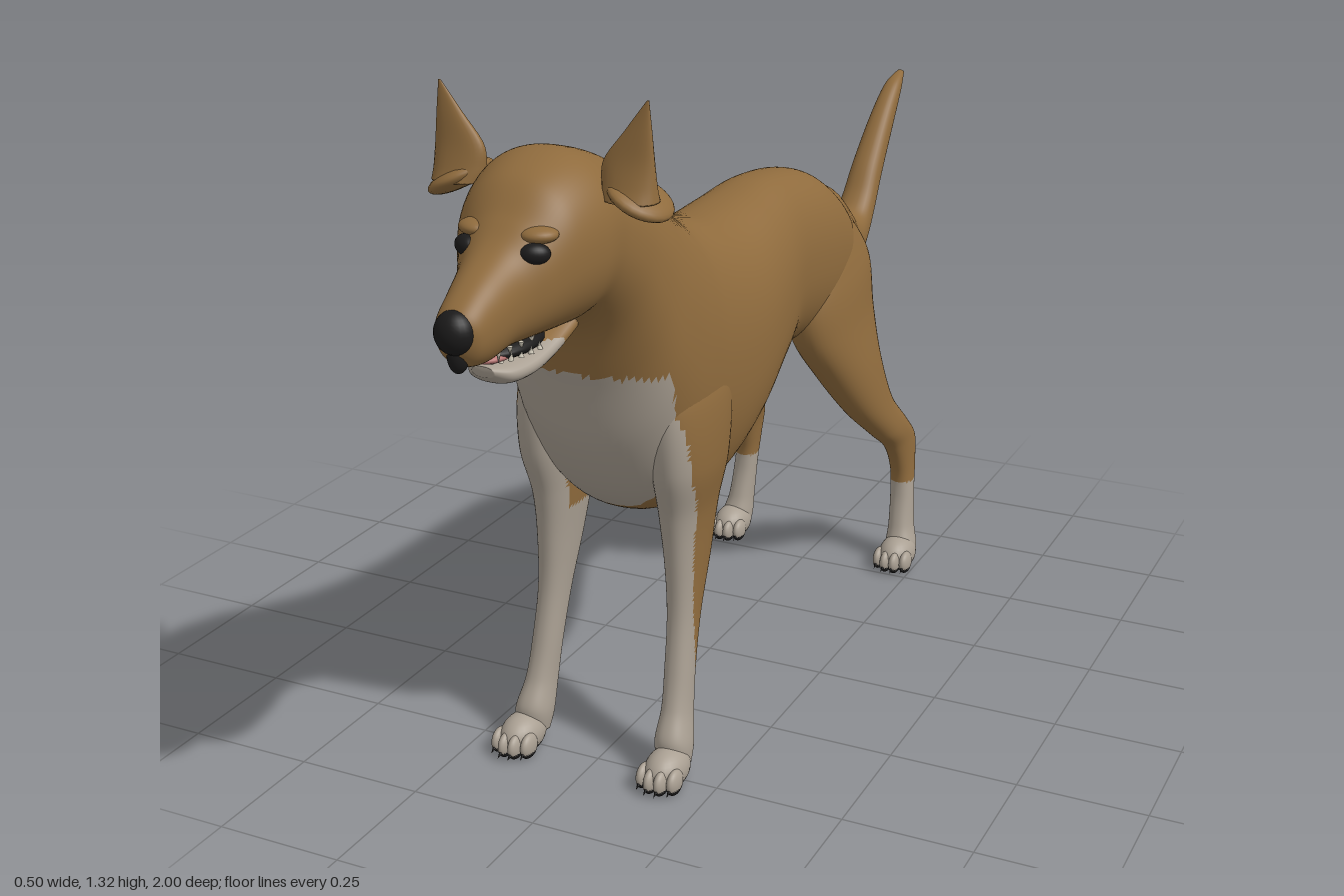
import * as THREE from 'three';

const mat = (name, color, side = THREE.FrontSide) => {
  const m = new THREE.MeshStandardMaterial({ color, side });
  m.name = name;
  return m;
};

// Component-wise Catmull-Rom through the sections
function sample(sections, t) {
  const n = sections.length - 1;
  const i = Math.min(Math.floor(t), n - 1), f = t - i;
  const at = k => sections[Math.max(0, Math.min(n, k))];
  const [a, b, c, d] = [at(i - 1), at(i), at(i + 1), at(i + 2)];
  return b.map((v, k) => v + 0.5 * f * (c[k] - a[k]
    + f * (2 * a[k] - 5 * v + 4 * c[k] - d[k] + f * (3 * (v - c[k]) + d[k] - a[k]))));
}

// Skin over oval sections: [z, y of one edge, z, y of the opposite edge, half width, centre x]
function loft(sections, steps = 8, radial = 40, power = 0.9) {
  const pos = [], idx = [];
  const rings = (sections.length - 1) * steps + 1;
  const bend = v => Math.sign(v) * Math.pow(Math.abs(v), power);
  for (let i = 0; i < rings; i++) {
    const [z1, y1, z2, y2, w, cx] = sample(sections, i / steps);
    for (let j = 0; j < radial; j++) {
      const a = (j / radial) * Math.PI * 2, s = bend(Math.sin(a)) / 2;
      pos.push(cx + w * bend(Math.cos(a)), (y1 + y2) / 2 + s * (y1 - y2), (z1 + z2) / 2 + s * (z1 - z2));
    }
  }
  for (let i = 0; i < rings - 1; i++) for (let j = 0; j < radial; j++) {
    const k = (j + 1) % radial, a = i * radial + j, b = i * radial + k;
    idx.push(a, b, b + radial, a, b + radial, a + radial);
  }
  // Close both ends
  [[sections[0], 0], [sections[sections.length - 1], rings - 1]].forEach(([s, ring], end) => {
    const c = pos.length / 3;
    pos.push(s[5], (s[1] + s[3]) / 2, (s[0] + s[2]) / 2);
    for (let j = 0; j < radial; j++) {
      const a = ring * radial + j, b = ring * radial + (j + 1) % radial;
      if (end) idx.push(c, a, b); else idx.push(c, b, a);
    }
  });
  const g = new THREE.BufferGeometry();
  g.setAttribute('position', new THREE.Float32BufferAttribute(pos, 3));
  g.setIndex(idx);
  g.computeVertexNormals();
  return g;
}

// Put the faces chosen by a rule into a second material group
function paint(g, rule) {
  const p = g.attributes.position, src = g.index.array, parts = [[], []];
  for (let i = 0; i < src.length; i += 3) {
    const t = [src[i], src[i + 1], src[i + 2]];
    const mean = f => (f(t[0]) + f(t[1]) + f(t[2])) / 3;
    const hit = rule(mean(k => p.getX(k)), mean(k => p.getY(k)), mean(k => p.getZ(k)));
    parts[hit ? 1 : 0].push(...t);
  }
  g.setIndex([...parts[0], ...parts[1]]);
  g.clearGroups();
  g.addGroup(0, parts[0].length, 0);
  g.addGroup(parts[0].length, parts[1].length, 1);
  return g;
}

export function createModel() {
  const fur = mat('tan fur', 0x8f6b3d);
  const white = mat('pale fur', 0xa99f92);
  const black = mat('black skin', 0x1b1a1a);
  const pink = mat('pink tongue', 0xb87572);
  const ivory = mat('ivory teeth', 0xcfc8b8);

  const dog = new THREE.Group();
  dog.name = 'dog';
  const add = (name, geo, m, parent = dog) => {
    const mesh = new THREE.Mesh(geo, m);
    mesh.name = name;
    parent.add(mesh);
    return mesh;
  };
  const ball = (name, m, [x, y, z], [rx, ry, rz], parent = dog) => {
    const b = add(name, new THREE.SphereGeometry(1, 24, 16), m, parent);
    b.position.set(x, y, z);
    b.scale.set(rx, ry, rz);
    return b;
  };
  const bib = (x, y, z) => y < 0.8 && Math.abs(x) < 0.178 && z > 0.42 + Math.max(0, y - 0.5) * 0.28;

  // Rump, trunk, neck, skull and upper muzzle as one skin
  const body = loft([
    [-0.55, 0.80, -0.565, 0.72, 0.03, 0.01],
    [-0.53, 0.855, -0.56, 0.64, 0.08, 0.01],
    [-0.45, 0.915, -0.49, 0.59, 0.118, 0.01],
    [-0.35, 0.965, -0.36, 0.59, 0.13, 0.01],
    [-0.20, 0.985, -0.20, 0.61, 0.127, 0.008],
    [-0.08, 0.975, -0.09, 0.565, 0.145, 0.005],
    [0.05, 0.966, 0.05, 0.49, 0.167, 0],
    [0.17, 0.99, 0.19, 0.445, 0.175, 0],
    [0.26, 1.02, 0.34, 0.46, 0.184, 0],
    [0.33, 1.06, 0.45, 0.52, 0.188, 0],
    [0.39, 1.10, 0.525, 0.64, 0.182, 0],
    [0.45, 1.15, 0.56, 0.78, 0.166, 0],
    [0.51, 1.185, 0.59, 0.88, 0.152, 0],
    [0.58, 1.215, 0.64, 0.93, 0.142, 0],
    [0.66, 1.23, 0.70, 0.935, 0.138, 0.005],
    [0.75, 1.205, 0.755, 0.94, 0.118, 0.012],
    [0.81, 1.15, 0.81, 0.945, 0.09, 0.018],
    [0.855, 1.112, 0.86, 0.945, 0.066, 0.018],
    [0.92, 1.075, 0.915, 0.938, 0.052, 0.02],
    [0.965, 1.045, 0.955, 0.945, 0.042, 0.02],
    [0.985, 1.025, 0.975, 0.965, 0.022, 0.02],
  ], 10, 72);
  add('body', paint(body, bib), [fur, white]);

  // Tail dips below the rump, then sweeps up
  add('tail', loft([
    [-0.48, 0.76, -0.42, 0.92, 0.05, 0.015],
    [-0.555, 0.735, -0.52, 0.89, 0.055, 0.018],
    [-0.595, 0.685, -0.60, 0.835, 0.054, 0.02],
    [-0.64, 0.665, -0.65, 0.795, 0.05, 0.02],
    [-0.70, 0.69, -0.69, 0.79, 0.046, 0.02],
    [-0.77, 0.765, -0.73, 0.82, 0.04, 0.02],
    [-0.83, 0.845, -0.78, 0.885, 0.035, 0.02],
    [-0.90, 0.935, -0.86, 0.975, 0.028, 0.022],
    [-0.96, 1.01, -0.93, 1.035, 0.02, 0.024],
    [-0.997, 1.045, -0.988, 1.056, 0.008, 0.025],
  ], 8, 28), fur);
  ball('sheath', fur, [0.005, 0.57, -0.14], [0.028, 0.025, 0.06]).rotation.x = 0.5;

  // Mouth: lower jaw, dark lining, tongue and teeth
  const jaw = loft([
    [0.70, 0.97, 0.69, 0.925, 0.075, 0.012],
    [0.75, 0.945, 0.75, 0.90, 0.066, 0.015],
    [0.81, 0.93, 0.81, 0.886, 0.058, 0.018],
    [0.865, 0.925, 0.86, 0.886, 0.044, 0.019],
    [0.895, 0.925, 0.89, 0.905, 0.02, 0.02],
  ], 8, 32);
  add('lowerJaw', paint(jaw, (x, y, z) => z > 0.735 && y < 0.935), [fur, white]);
  ball('mouthLining', black, [0.018, 0.938, 0.80], [0.046, 0.018, 0.085]);
  ball('tongue', pink, [0.018, 0.934, 0.855], [0.03, 0.011, 0.045]);
  const teeth = new THREE.Group();
  teeth.name = 'teeth';
  dog.add(teeth);
  for (let i = 0; i < 13; i++) {
    const a = (i / 12) * Math.PI, r = i === 3 || i === 9 ? 0.022 : 0.014;
    const lower = add('lowerTooth', new THREE.ConeGeometry(0.005, r, 6), ivory, teeth);
    lower.position.set(0.018 + 0.046 * Math.cos(a), 0.927 + r / 2, 0.785 + 0.098 * Math.sin(a));
    const upper = add('upperTooth', new THREE.ConeGeometry(0.005, r, 6), ivory, teeth);
    upper.rotation.x = Math.PI;
    upper.position.set(0.018 + 0.04 * Math.cos(a), 0.953 - r / 2, 0.80 + 0.12 * Math.sin(a));
  }

  // Nose with the split below it
  ball('nose', black, [0.02, 1.005, 0.968], [0.035, 0.037, 0.032]);
  ball('noseSplit', black, [0.02, 0.965, 0.962], [0.018, 0.03, 0.018]);

  for (const side of [1, -1]) {
    const label = side > 0 ? 'left' : 'right';
    const mirror = rows => rows.map(r => [...r.slice(0, 5), r[5] * side]);

    // Eye and brow
    ball(label + 'Eye', black, [0.018 + side * 0.063, 1.1, 0.822], [0.026, 0.018, 0.018]).rotation.y = side * 0.6;
    ball(label + 'Brow', fur, [0.018 + side * 0.06, 1.126, 0.80], [0.032, 0.014, 0.026]).rotation.y = side * 0.6;

    // Pricked ear with a folded skirt at its base
    add(label + 'Ear', loft(mirror([
      [0.61, 1.155, 0.685, 1.155, 0.048, 0.165],
      [0.62, 1.18, 0.675, 1.18, 0.049, 0.161],
      [0.63, 1.22, 0.664, 1.22, 0.046, 0.161],
      [0.638, 1.27, 0.656, 1.27, 0.025, 0.178],
      [0.645, 1.323, 0.648, 1.323, 0.002, 0.196],
    ]), 6, 24), fur);
    ball(label + 'EarFold', fur, [side * 0.172, 1.155, 0.63], [0.06, 0.02, 0.065]).rotation.z = -side * 0.5;

    // Front leg, pale on its front, inside and foot
    const front = loft(mirror([
      [0.46, 0.82, 0.30, 0.82, 0.025, 0.13],
      [0.49, 0.72, 0.25, 0.72, 0.055, 0.135],
      [0.485, 0.60, 0.265, 0.60, 0.056, 0.138],
      [0.458, 0.50, 0.29, 0.50, 0.044, 0.133],
      [0.447, 0.40, 0.32, 0.40, 0.035, 0.135],
      [0.448, 0.30, 0.365, 0.29, 0.028, 0.138],
      [0.467, 0.20, 0.398, 0.19, 0.027, 0.142],
      [0.488, 0.13, 0.415, 0.11, 0.028, 0.146],
      [0.515, 0.075, 0.435, 0.05, 0.035, 0.15],
      [0.51, 0.03, 0.45, 0.02, 0.032, 0.152],
    ]), 12, 48);
    add(label + 'FrontLeg', paint(front, (x, y, z) =>
      bib(x, y, z) || y < 0.14 + (z - 0.38) * 0.8 || (y < 0.47 && Math.abs(x) < 0.126)), [fur, white]);

    // Hind leg with thigh, hock and pale foot
    const hind = loft(mirror([
      [-0.31, 0.80, -0.51, 0.83, 0.045, 0.08],
      [-0.265, 0.69, -0.57, 0.75, 0.07, 0.083],
      [-0.275, 0.60, -0.565, 0.64, 0.072, 0.095],
      [-0.34, 0.50, -0.545, 0.53, 0.062, 0.125],
      [-0.415, 0.405, -0.565, 0.42, 0.048, 0.155],
      [-0.49, 0.335, -0.625, 0.345, 0.037, 0.178],
      [-0.55, 0.285, -0.672, 0.29, 0.029, 0.188],
      [-0.585, 0.22, -0.663, 0.235, 0.026, 0.193],
      [-0.587, 0.16, -0.647, 0.17, 0.026, 0.197],
      [-0.57, 0.09, -0.638, 0.08, 0.028, 0.202],
      [-0.555, 0.05, -0.63, 0.035, 0.034, 0.207],
      [-0.56, 0.025, -0.62, 0.02, 0.03, 0.207],
    ]), 10, 44);
    add(label + 'HindLeg', paint(hind, (x, y) => y < 0.19), [fur, white]);

    // Paws: pad flattened on the ground, four toes, claws and dark soles
    for (const [name, px, pz] of [['FrontPaw', 0.155, 0.515], ['HindPaw', 0.208, -0.567]]) {
      const paw = new THREE.Group();
      paw.name = label + name;
      dog.add(paw);
      const lump = (part, x, y, z, rx, ry, rz) => {
        const g = new THREE.SphereGeometry(1, 24, 20).scale(rx, ry, rz).translate(x, y, z);
        const p = g.attributes.position;
        for (let i = 0; i < p.count; i++) p.setY(i, Math.max(0, p.getY(i)));
        g.computeVertexNormals();
        add(part, paint(g, (a, b) => b < 0.012), [white, black], paw);
      };
      lump('pad', side * px, 0.028, pz, 0.04, 0.04, 0.058);
      for (let i = 0; i < 4; i++) {
        const off = (i - 1.5) * 0.021, z = pz + (i === 1 || i === 2 ? 0.045 : 0.033);
        lump('toe', side * px + off, 0.022, z, 0.0125, 0.025, 0.026);
        const claw = add('claw', new THREE.ConeGeometry(0.005, 0.02, 8), black, paw);
        claw.position.set(side * px + off, 0.013, z + 0.026);
        claw.rotation.x = 2.1;
      }
    }
  }
  return dog;
}
